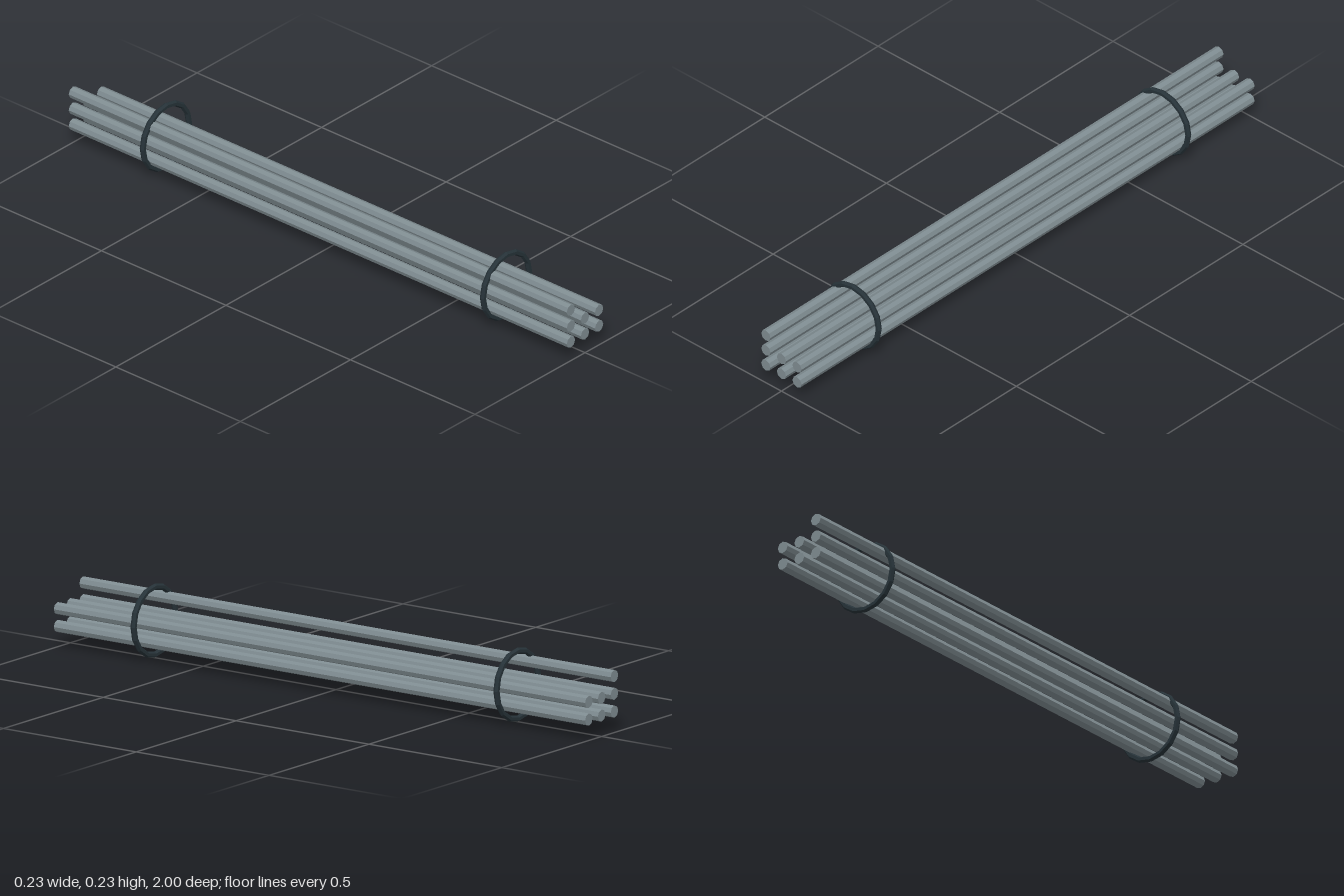
import * as THREE from 'three';

export function createModel() {
  const group = new THREE.Group();
  const steel = new THREE.MeshStandardMaterial({ color: 0x7f8c91, flatShading: true });
  steel.name = 'steel grey';
  const dark = new THREE.MeshStandardMaterial({ color: 0x263238, flatShading: true });
  dark.name = 'dark band';

  // Seven octagonal rods lying along z: two full rows and one rod on top
  const rodGeometry = new THREE.CylinderGeometry(0.019, 0.019, 2, 8).rotateX(Math.PI / 2);
  for (let i = 0; i < 7; i++) {
    const rod = new THREE.Mesh(rodGeometry, steel);
    rod.name = `rod${i + 1}`;
    rod.position.set(((i % 3) - 1) * 0.064, 0.067 + Math.floor(i / 3) * 0.055, 0);
    group.add(rod);
  }

  // Binding rings near both ends
  const ringGeometry = new THREE.TorusGeometry(0.105, 0.0095, 6, 16);
  for (const [name, z] of [['frontRing', 0.683], ['backRing', -0.683]]) {
    const ring = new THREE.Mesh(ringGeometry, dark);
    ring.name = name;
    ring.position.set(0, 0.117, z);
    group.add(ring);
  }
  return group;
}
